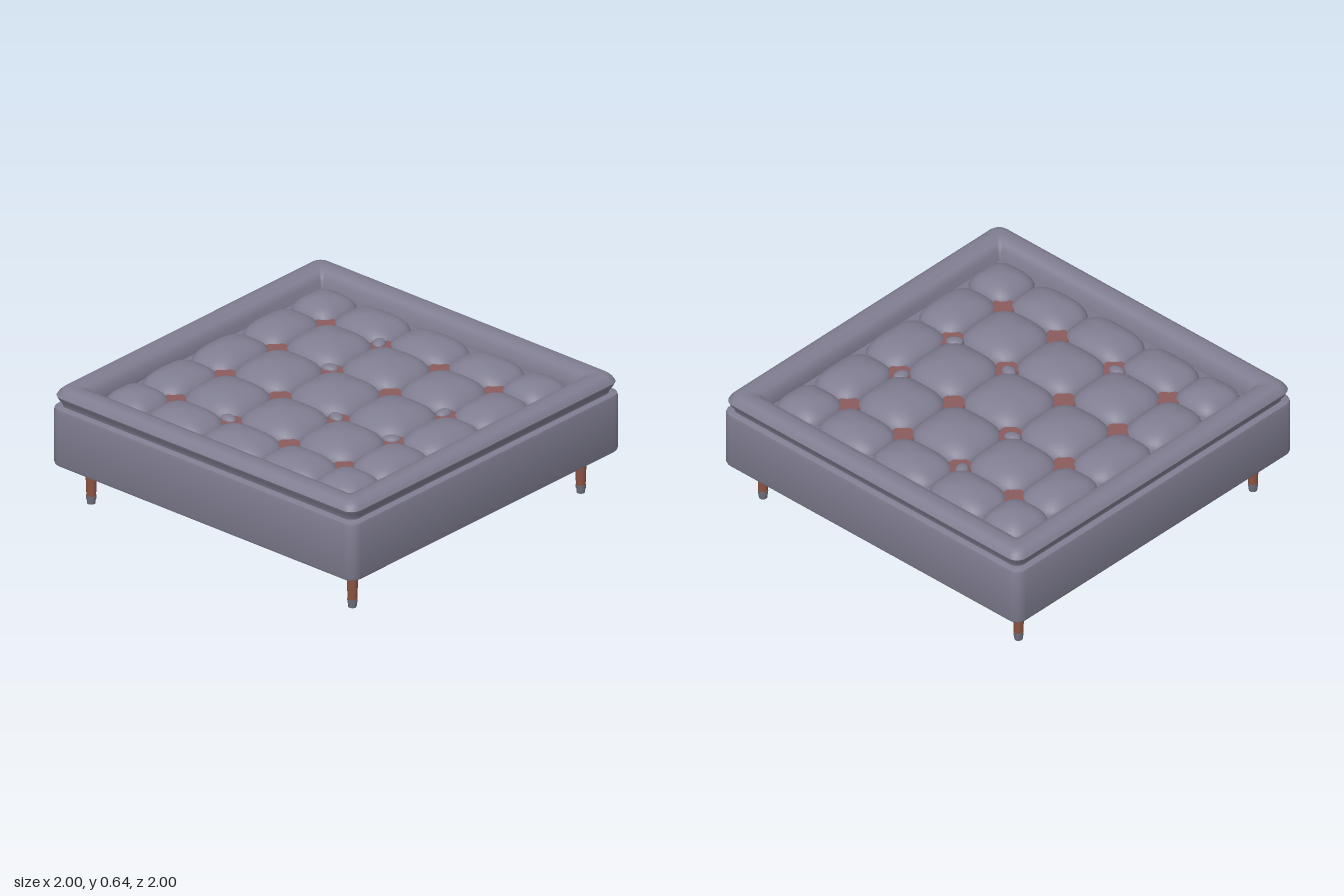
import * as THREE from 'three';
import { mergeVertices, toCreasedNormals } from 'three/addons/utils/BufferGeometryUtils.js';

const material = (name, color) => {
  const m = new THREE.MeshStandardMaterial({ color });
  m.name = name;
  return m;
};

// Lofts rounded squares along a profile of [half width, y, corner radius]
function loftSquares(profile, crease) {
  const steps = 6, pos = [], index = [];
  for (const [half, y, r] of profile) {
    for (let c = 0; c < 4; c++) {
      for (let s = 0; s <= steps; s++) {
        const a = (c + s / steps) * Math.PI / 2;
        const sx = c === 0 || c === 3 ? 1 : -1, sz = c < 2 ? 1 : -1;
        pos.push(sx * (half - r) + r * Math.cos(a), y, sz * (half - r) + r * Math.sin(a));
      }
    }
  }
  const n = 4 * (steps + 1);
  for (let i = 0; i < profile.length - 1; i++) {
    for (let j = 0; j < n; j++) {
      const a = i * n + j, b = i * n + (j + 1) % n;
      index.push(a, a + n, b, b, a + n, b + n);
    }
  }
  const g = new THREE.BufferGeometry();
  g.setAttribute('position', new THREE.Float32BufferAttribute(pos, 3));
  g.setIndex(index);
  return toCreasedNormals(g, crease);
}

// Dome with a squared-off plan
function pillowGeometry(hx, h, hz) {
  let g = new THREE.SphereGeometry(1, 36, 12, 0, Math.PI * 2, 0, Math.PI / 2);
  const p = g.attributes.position, power = 3.2;
  for (let i = 0; i < p.count; i++) {
    const x = p.getX(i), z = p.getZ(i);
    const norm = (Math.abs(x) ** power + Math.abs(z) ** power) ** (1 / power);
    const k = norm > 1e-6 ? Math.hypot(x, z) / norm : 1;
    p.setXYZ(i, x * k * hx, p.getY(i) * h, z * k * hz);
  }
  g.deleteAttribute('uv');
  g.deleteAttribute('normal');
  g = mergeVertices(g, 1e-5);
  g.computeVertexNormals();
  return g;
}

export function createModel() {
  const group = new THREE.Group();
  const fabric = material('grey fabric', 0x7f7d90);
  const rose = material('rose button', 0x8a5a5c);
  const wood = material('brown wood', 0x8c5442);
  const metal = material('grey metal', 0x6c6c7a);

  const add = (name, geometry, mat, x = 0, y = 0, z = 0, parent = group) => {
    const mesh = new THREE.Mesh(geometry, mat);
    mesh.name = name;
    mesh.position.set(x, y, z);
    parent.add(mesh);
    return mesh;
  };

  // Upholstered base
  add('base', loftSquares([
    [0, 0.225, 0], [0.985, 0.225, 0.05], [0.995, 0.23, 0.055], [1, 0.242, 0.06],
    [1, 0.525, 0.06], [0.996, 0.539, 0.056], [0.98, 0.546, 0.05], [0, 0.546, 0],
  ], 0.7), fabric);

  // Padded rim with a recessed seam beneath
  add('rim', loftSquares([
    [0.965, 0.54, 0.05], [0.968, 0.56, 0.05], [0.984, 0.582, 0.06], [0.993, 0.603, 0.065],
    [0.982, 0.622, 0.06], [0.965, 0.638, 0.05], [0.945, 0.645, 0.04], [0.905, 0.644, 0.03],
    [0.872, 0.632, 0.02], [0.85, 0.605, 0.012], [0.842, 0.54, 0.01],
  ], 0.8), fabric);

  // Tufted cushions, five by five
  const lines = [-0.83, -0.56, -0.195, 0.19, 0.555, 0.83];
  const cushions = new THREE.Group();
  cushions.name = 'cushions';
  group.add(cushions);
  for (let i = 0; i < 5; i++) {
    for (let j = 0; j < 5; j++) {
      const hx = (lines[i + 1] - lines[i]) / 2, hz = (lines[j + 1] - lines[j]) / 2;
      const edge = i % 4 === 0 || j % 4 === 0;
      add('cushion', pillowGeometry(hx + 0.008, edge ? 0.092 : 0.104, hz + 0.008), fabric,
        lines[i] + hx, 0.535, lines[j] + hz, cushions);
    }
  }

  // Buttons where four cushions meet, some with a fold of fabric
  const button = new THREE.CylinderGeometry(0.062, 0.07, 0.016, 16);
  const fold = new THREE.SphereGeometry(1, 14, 10);
  const folded = [[1, 2], [2, 4], [3, 4], [4, 2], [2, 3], [3, 2]];
  for (let i = 1; i < 5; i++) {
    for (let j = 1; j < 5; j++) {
      add('button', button, rose, lines[i], 0.556, lines[j]);
    }
  }
  folded.forEach(([i, j], k) => {
    const f = add('fabricFold', fold, fabric, lines[i] + 0.012, 0.562, lines[j] - 0.025);
    f.scale.set(0.034, 0.022, 0.045);
    f.rotation.y = k * 0.7;
  });

  // Legs with collar and foot
  const parts = [
    ['legCollar', 0.036, 0.034, 0.182, 0.23, metal],
    ['legCollarRing', 0.03, 0.028, 0.172, 0.184, metal],
    ['legShaft', 0.029, 0.024, 0.04, 0.175, wood],
    ['legFoot', 0.026, 0.025, 0.024, 0.044, metal],
    ['legTip', 0.023, 0.021, 0, 0.026, metal],
  ];
  for (const x of [-0.845, 0.845]) {
    for (const z of [-0.86, 0.86]) {
      const leg = new THREE.Group();
      leg.name = 'leg';
      leg.position.set(x, 0, z);
      group.add(leg);
      for (const [name, top, bottom, y0, y1, mat] of parts) {
        add(name, new THREE.CylinderGeometry(top, bottom, y1 - y0, 20), mat, 0, (y0 + y1) / 2, 0, leg);
      }
    }
  }
  return group;
}
